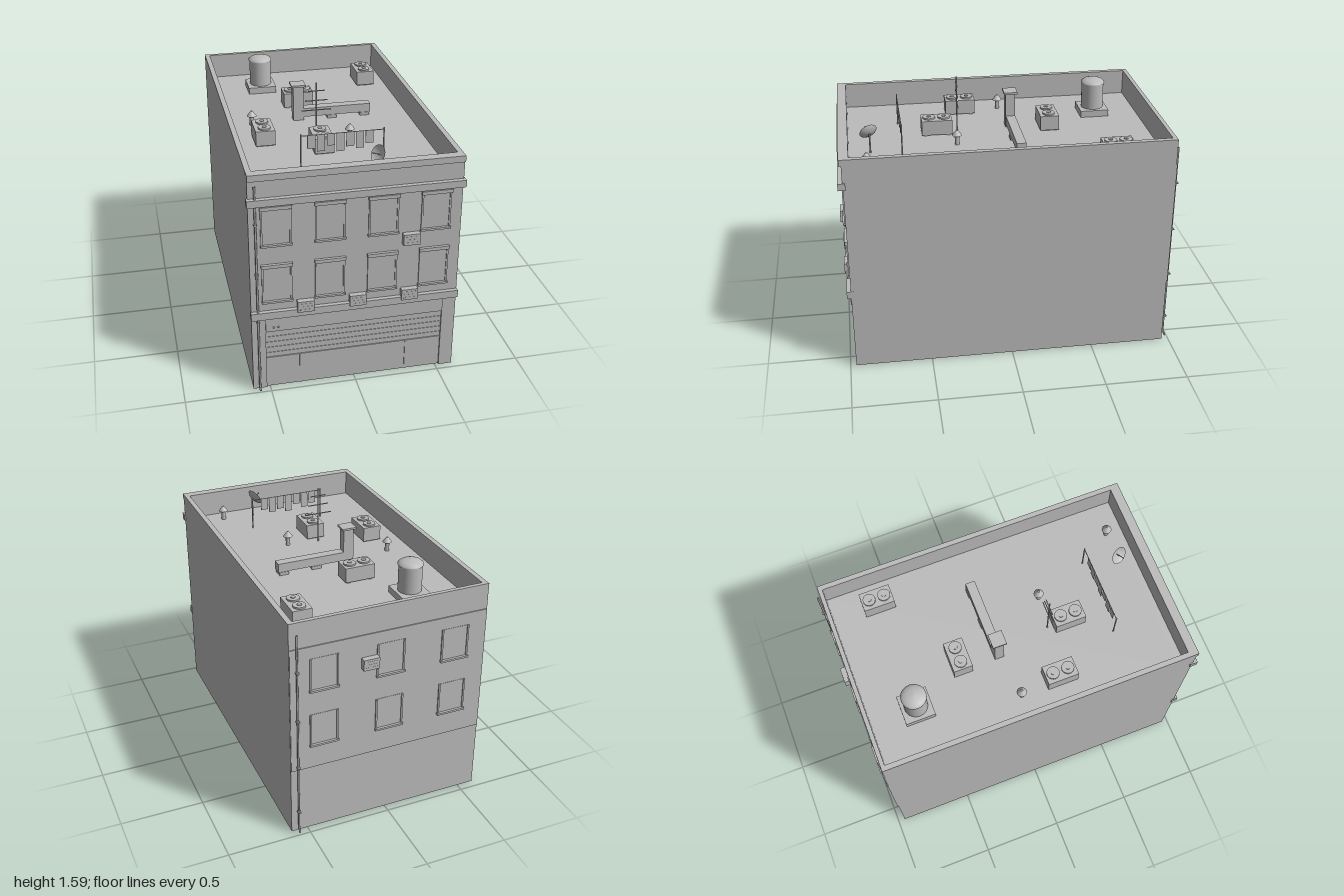
import * as THREE from 'three';

export function createModel() {
  const root = new THREE.Group();
  const grey = new THREE.MeshStandardMaterial({ color: 0xbcbcbc });
  grey.name = 'concrete grey';
  const sheet = new THREE.MeshStandardMaterial({ color: 0xbcbcbc, side: THREE.DoubleSide });
  sheet.name = 'sheet grey';

  const add = (name, geo, x = 0, y = 0, z = 0, parent = root, mat = grey) => {
    const m = new THREE.Mesh(geo, mat);
    m.name = name;
    m.position.set(x, y, z);
    parent.add(m);
    return m;
  };
  // Box given by its limits on each axis
  const box = (name, x0, x1, y0, y1, z0, z1, parent = root) =>
    add(name, new THREE.BoxGeometry(x1 - x0, y1 - y0, z1 - z0), (x0 + x1) / 2, (y0 + y1) / 2, (z0 + z1) / 2, parent);
  const cyl = (name, r0, r1, h, x, y, z, parent = root, n = 16) =>
    add(name, new THREE.CylinderGeometry(r0, r1, h, n), x, y + h / 2, z, parent);
  const group = (name, x = 0, y = 0, z = 0) => {
    const g = new THREE.Group();
    g.name = name;
    g.position.set(x, y, z);
    root.add(g);
    return g;
  };

  const ROOF = 1.23, TOP = 1.388;

  // Main block with its front and back skins
  box('body', -0.6, 0.6, 0.008, ROOF, -0.957, 0.89);
  box('frontWall', -0.6, 0.6, 0.49, ROOF, 0.89, 0.965);
  box('backUpperWall', -0.598, 0.598, 0.44, ROOF, -0.963, -0.957);

  // Parapet and coping around the flat roof
  for (const s of [-1, 1]) {
    box('sideParapet', s * 0.585 - 0.015, s * 0.585 + 0.015, ROOF, 1.35, -0.957, 0.935);
    box('sideCoping', s * 0.585 - 0.0155, s * 0.585 + 0.0155, 1.35, TOP, -0.957, 0.94);
  }
  box('backParapet', -0.57, 0.57, ROOF, TOP, -0.957, -0.932);
  box('frontParapet', -0.6, 0.6, ROOF, 1.35, 0.925, 0.967);
  box('frontCoping', -0.6, 0.6, 1.35, TOP, 0.924, 0.98);

  // Mouldings across the front
  box('cornice', -0.608, 0.608, 1.204, 1.246, 0.95, 0.994);
  box('belt', -0.603, 0.603, 0.49, 0.536, 0.95, 0.99);

  // Shop front: piers, sign board, shutter, doors
  for (const s of [-1, 1]) box('pier', s * 0.56 - 0.04, s * 0.56 + 0.04, 0.008, 0.49, 0.89, 0.965);
  box('shopFront', -0.52, 0.52, 0.008, 0.49, 0.89, 0.955);
  box('signBoard', -0.52, 0.52, 0.395, 0.48, 0.95, 0.972);
  for (let i = 0; i < 4; i++) box('shutterSlat', -0.515, 0.515, 0.24 + i * 0.036, 0.244 + i * 0.036, 0.954, 0.958);
  for (const x of [-0.32, 0.31]) box('doorPost', x - 0.005, x + 0.005, 0.01, 0.21, 0.954, 0.961);
  box('shopRail', -0.515, 0.515, 0.207, 0.212, 0.954, 0.961);
  for (const x of [-0.475, -0.447])
    add('signLamp', new THREE.SphereGeometry(0.006, 10, 8), x, 0.424, 0.974);

  // Windows: thin pane, jambs, sill and optional lintel; dir is the facing side
  const makeWindow = (x, y0, y1, z, dir, lintel) => {
    const g = group('window', x, 0, z);
    if (dir < 0) g.rotation.y = Math.PI;
    box('pane', -0.08, 0.08, y0, y1, -0.002, 0.002, g);
    for (const s of [-1, 1]) box('jamb', s * 0.08 - 0.005, s * 0.08 + 0.005, y0, y1, -0.002, 0.008, g);
    box('sill', -0.088, 0.088, y0 - 0.008, y0 + 0.004, -0.002, 0.017, g);
    if (lintel) box('lintel', -0.088, 0.088, y1, y1 + 0.021, -0.002, 0.017, g);
  };
  for (const y of [0.597, 0.955]) {
    for (const x of [-0.45, -0.15, 0.15, 0.45]) makeWindow(x, y, y + 0.217, 0.965, 1, true);
    for (const x of [-0.4, 0, 0.4]) makeWindow(x, y, y + 0.2, -0.963, -1, false);
  }

  // Wall air conditioners
  const aircon = (x, y, z0, z1, face) => {
    box('airConditioner', x - 0.048, x + 0.048, y - 0.034, y + 0.034, z0, z1);
    for (let i = -1; i <= 1; i++)
      box('airConditionerGrille', x - 0.035, x + 0.035, y + i * 0.018 - 0.003, y + i * 0.018 + 0.003, face - 0.001, face + 0.001);
  };
  for (const x of [-0.292, 0.008, 0.31]) aircon(x, 0.552, 0.95, 0.998, 0.998);
  aircon(0.31, 0.91, 0.95, 0.998, 0.998);
  aircon(0.13, 1.057, -0.998, -0.95, -0.998);

  // Downpipes with brackets and an outward foot
  for (const [x, z, d] of [[-0.563, 0.978, 1], [0.56, -0.974, -1]]) {
    const path = new THREE.CatmullRomCurve3([
      [x, 1.322, z], [x, 0.7, z], [x, 0.05, z], [x, 0.022, z], [x, 0.008, z + d * 0.016],
    ].map(p => new THREE.Vector3(...p)), false, 'catmullrom', 0.1);
    add('downpipe', new THREE.TubeGeometry(path, 30, 0.006, 8), 0, 0, 0, root, sheet);
    for (const y of [0.155, 0.468, 0.78, 1.092])
      box('pipeBracket', x - 0.009, x + 0.009, y - 0.004, y + 0.004, z - 0.015, z + 0.009);
  }

  // Water tank on a pad
  const tank = group('waterTank', -0.267, ROOF, -0.65);
  box('tankPad', -0.09, 0.09, 0, 0.042, -0.09, 0.09, tank);
  cyl('tankBody', 0.07, 0.07, 0.163, 0, 0.042, 0, tank, 20);
  const dome = [[0.075, 0], [0.075, 0.008], [0.06, 0.02], [0.035, 0.029], [0, 0.033]];
  add('tankLid', new THREE.LatheGeometry(dome.map(p => new THREE.Vector2(...p)), 20), 0, 0.203, 0, tank, sheet);

  // Rooftop cooling units, each with a pair of fans
  for (const [x, z, turned] of [[0.432, -0.647, 1], [-0.082, -0.32, 0], [-0.388, 0.202, 1], [-0.072, 0.379, 1]]) {
    const g = group('coolingUnit', x, ROOF, z);
    if (turned) g.rotation.y = Math.PI / 2;
    box('unitCase', -0.094, 0.094, 0.008, 0.1, -0.058, 0.058, g);
    for (const s of [-1, 1]) {
      box('unitFoot', s * 0.07 - 0.01, s * 0.07 + 0.01, 0, 0.01, -0.05, 0.05, g);
      cyl('fanRing', 0.038, 0.038, 0.01, s * 0.046, 0.1, 0, g, 20);
      cyl('fanHub', 0.014, 0.014, 0.004, s * 0.046, 0.11, 0, g, 12);
    }
  }

  // Duct ending in a capped stack
  box('duct', -0.09, 0.336, 1.25, 1.305, -0.118, -0.06);
  box('ductStack', -0.155, -0.09, ROOF, 1.452, -0.116, -0.058);
  box('stackCap', -0.167, -0.078, 1.452, 1.464, -0.13, -0.046);
  for (const x of [0.09, 0.3]) box('ductFoot', x - 0.03, x + 0.03, ROOF, 1.25, -0.122, -0.056);

  // Cowled roof vents
  for (const [x, z] of [[-0.418, -0.05], [0.124, 0.272], [0.373, 0.823]]) {
    cyl('ventPipe', 0.014, 0.014, 0.065, x, ROOF, z);
    cyl('ventCowl', 0.006, 0.03, 0.032, x, ROOF + 0.06, z);
  }

  // Aerial
  cyl('aerialMast', 0.004, 0.004, 0.36, -0.075, ROOF, 0.25, root, 8);
  for (const [y, w] of [[1.54, 0.1], [1.48, 0.135], [1.42, 0.175]])
    box('aerialBar', -0.075 - w / 2, -0.075 + w / 2, y - 0.0025, y + 0.0025, 0.2475, 0.2525);

  // Clothes line with washing
  for (const x of [-0.24, 0.24]) cyl('linePost', 0.004, 0.004, 0.202, x, ROOF, 0.61, root, 8);
  box('clothesLine', -0.24, 0.24, 1.419, 1.423, 0.608, 0.612);
  [0.08, 0.1, 0.07, 0.11, 0.085, 0.1, 0.075].forEach((h, i) => {
    const x = -0.18 + i * 0.056;
    box('washing', x - 0.023, x + 0.023, 1.42 - h, 1.42, 0.6085, 0.6115);
  });

  // Satellite dish on a short post
  cyl('dishPost', 0.005, 0.005, 0.125, 0.175, ROOF, 0.796, root, 8);
  const dish = group('satelliteDish', 0.17, 1.352, 0.796);
  dish.quaternion.setFromUnitVectors(new THREE.Vector3(0, 1, 0), new THREE.Vector3(-0.82, 0.45, 0.35).normalize());
  const bowl = [[0, 0], [0.025, 0.004], [0.042, 0.011], [0.055, 0.02]];
  add('dishBowl', new THREE.LatheGeometry(bowl.map(p => new THREE.Vector2(...p)), 20), 0, 0, 0, dish, sheet);
  cyl('dishArm', 0.0025, 0.0025, 0.055, 0, 0, 0, dish, 6);
  add('dishReceiver', new THREE.SphereGeometry(0.006, 8, 6), 0, 0.056, 0, dish);

  return root;
}
